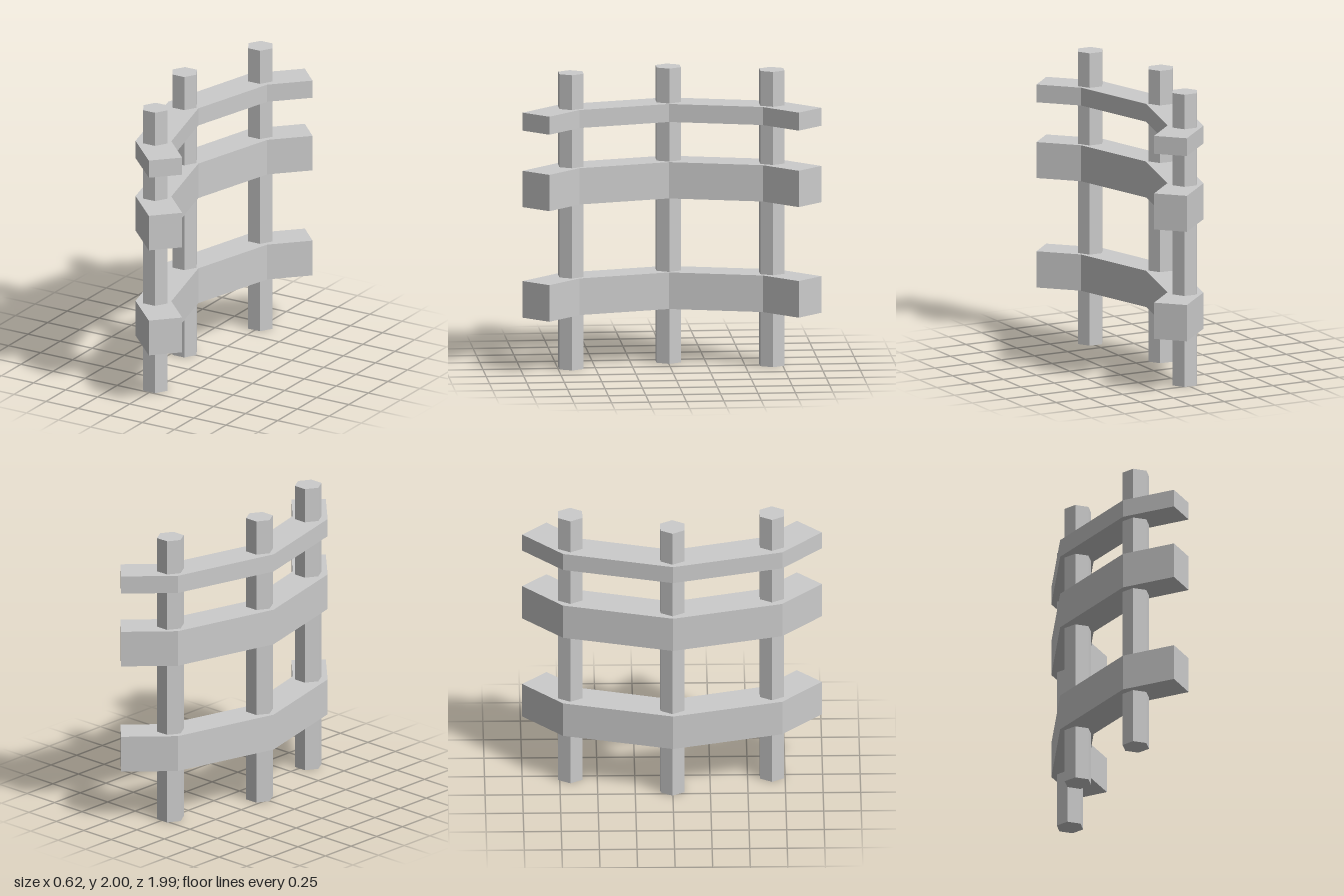
import * as THREE from 'three';

const material = new THREE.MeshStandardMaterial({ color: 0xcccccc, flatShading: true });

// Hexagonal upright post with corners pointing along x
function makePost(name, x, z) {
  const radius = 0.093, height = 2;
  const geometry = new THREE.CylinderGeometry(radius, radius, height, 6);
  geometry.rotateY(Math.PI / 2);
  geometry.translate(0, height / 2, 0);
  const post = new THREE.Mesh(geometry, material);
  post.name = name;
  post.position.set(x, 0, z);
  return post;
}

// Angled rail: a bent plan outline (x, z) extruded between two heights
function makeRail(name, bottom, top) {
  const outer = [[-0.31, 0], [-0.12, 0.73], [0.147, 0.997]];
  const inner = [[0.307, 0.833], [0.088, 0.612], [-0.075, 0]];
  const half = [...outer, ...inner];
  const mirrored = half.slice(1, -1).reverse().map(([x, z]) => [x, -z]);
  const shape = new THREE.Shape([...half, ...mirrored].map(([x, z]) => new THREE.Vector2(x, z)));
  const geometry = new THREE.ExtrudeGeometry(shape, { depth: top - bottom, bevelEnabled: false });
  geometry.rotateX(Math.PI / 2);
  geometry.translate(0, top, 0);
  const rail = new THREE.Mesh(geometry, material);
  rail.name = name;
  return rail;
}

export function createModel() {
  const fence = new THREE.Group();
  fence.name = 'curvedFence';
  fence.add(
    makePost('frontPost', -0.006, 0.662),
    makePost('middlePost', -0.184, -0.003),
    makePost('backPost', -0.006, -0.68),
    makeRail('lowerRail', 0.375, 0.623),
    makeRail('middleRail', 1.124, 1.37),
    makeRail('upperRail', 1.642, 1.764)
  );
  return fence;
}
